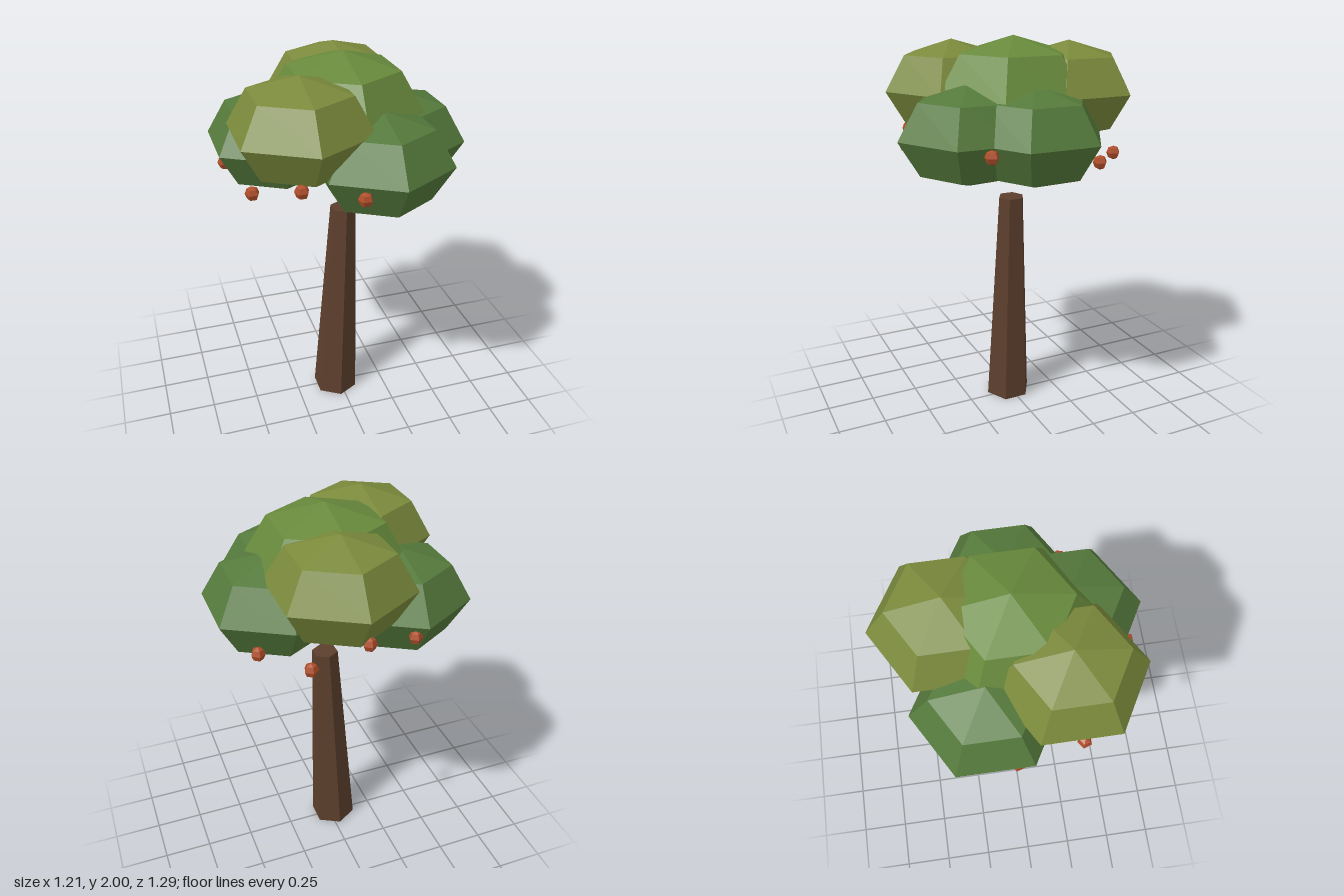
import * as THREE from 'three';

const flat = (color) => new THREE.MeshStandardMaterial({ color, flatShading: true });

export function createModel() {
  const tree = new THREE.Group();
  tree.name = 'tree';

  const add = (parent, name, geometry, material, [x, y, z]) => {
    const mesh = new THREE.Mesh(geometry, material);
    mesh.name = name;
    mesh.position.set(x, y, z);
    parent.add(mesh);
    return mesh;
  };

  // Trunk: tapered six-sided post, leaning slightly to its left
  const trunk = add(tree, 'trunk', new THREE.CylinderGeometry(0.068, 0.124, 1.17, 6),
    flat(0x5c3f2d), [-0.003, 0.592, 0.012]);
  trunk.rotation.z = -0.04;

  // Foliage: flattened six-sided clumps, a corner facing the front
  const foliage = new THREE.Group();
  foliage.name = 'foliage';
  tree.add(foliage);
  const clump = (radius, halfHeight) =>
    new THREE.SphereGeometry(1, 6, 4).rotateY(Math.PI / 6).scale(radius, halfHeight, radius);
  const small = clump(0.358, 0.25);
  const dark = flat(0x557a3c);
  const olive = flat(0x7b8a3c);

  add(foliage, 'frontClump', small, dark, [0.12, 1.54, 0.285]);
  add(foliage, 'leftClump', small, dark, [0.29, 1.54, 0.01]);
  add(foliage, 'rightClump', small, dark, [-0.295, 1.54, -0.155]);
  add(foliage, 'upperBackClump', small, olive, [0.06, 1.72, -0.29]);
  add(foliage, 'upperFrontClump', small, olive, [-0.253, 1.72, 0.224]);
  add(foliage, 'topClump', clump(0.403, 0.28), flat(0x688a3c), [0.02, 1.72, 0]);

  // Fruit: small five-sided beads around the underside of the foliage
  const fruits = new THREE.Group();
  fruits.name = 'fruits';
  tree.add(fruits);
  const bead = new THREE.SphereGeometry(0.036, 5, 4).rotateY(-Math.PI / 2);
  const red = flat(0xb04e2a);
  [
    [0.435, 1.5, 0.3], [-0.045, 1.485, 0.55], [-0.31, 1.515, 0.45],
    [-0.5, 1.45, 0.27], [-0.57, 1.48, -0.05], [-0.25, 1.48, -0.465],
    [0.01, 1.54, -0.53], [0.26, 1.415, -0.455], [0.45, 1.425, -0.26],
  ].forEach((position) => add(fruits, 'fruit', bead, red, position));

  return tree;
}
